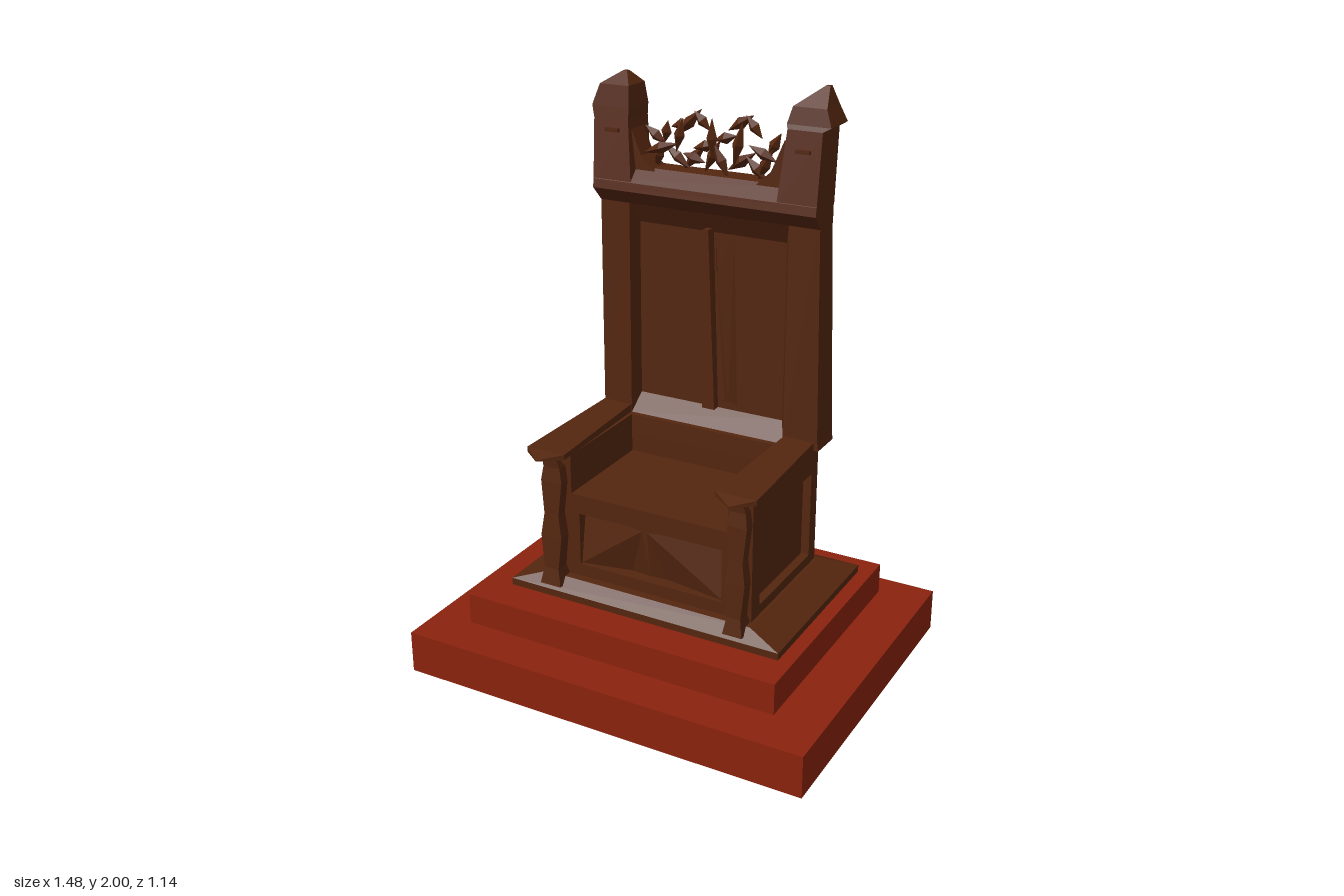
import * as THREE from 'three';

const wood = new THREE.MeshStandardMaterial({ color: 0x54260f, flatShading: true, side: THREE.DoubleSide });
wood.name = 'dark wood';
const red = new THREE.MeshStandardMaterial({ color: 0x8a220d, flatShading: true });
red.name = 'red step';

export function createModel() {
  const model = new THREE.Group();
  model.name = 'throne';

  const add = (name, geometry, material = wood) => {
    const mesh = new THREE.Mesh(geometry, material);
    mesh.name = name;
    model.add(mesh);
    return mesh;
  };
  const box = (name, x0, x1, y0, y1, z0, z1, material) => {
    const g = new THREE.BoxGeometry(x1 - x0, y1 - y0, z1 - z0);
    g.translate((x0 + x1) / 2, (y0 + y1) / 2, (z0 + z1) / 2);
    return add(name, g, material);
  };
  // quads given as four corners each
  const quads = (name, list) => {
    const p = [];
    for (const [a, b, c, d] of list) p.push(...a, ...b, ...c, ...a, ...c, ...d);
    const g = new THREE.BufferGeometry();
    g.setAttribute('position', new THREE.Float32BufferAttribute(p, 3));
    g.computeVertexNormals();
    return add(name, g);
  };
  // stack of rectangular sections [y, x0, x1, z0, z1]
  const loft = (name, sections) => {
    const rings = sections.map(([y, x0, x1, z0, z1]) =>
      [[x0, y, z1], [x1, y, z1], [x1, y, z0], [x0, y, z0]]);
    const list = [[...rings[0]].reverse(), rings[rings.length - 1]];
    for (let i = 0; i + 1 < rings.length; i++)
      for (let k = 0; k < 4; k++) {
        const n = (k + 1) % 4;
        list.push([rings[i][k], rings[i][n], rings[i + 1][n], rings[i + 1][k]]);
      }
    return quads(name, list);
  };
  // panel sunk behind a sloping border; rectangles are [x0, x1, y0, y1]
  const sunkPanel = (name, outer, inner, zOuter, zInner) => {
    const loop = ([x0, x1, y0, y1], z) => [[x0, y0, z], [x1, y0, z], [x1, y1, z], [x0, y1, z]];
    const o = loop(outer, zOuter), i = loop(inner, zInner);
    const list = [i];
    for (let k = 0; k < 4; k++) list.push([o[k], o[(k + 1) % 4], i[(k + 1) % 4], i[k]]);
    return quads(name, list);
  };
  // outline in x, y extruded from z0 to z1
  const plate = (name, points, z0, z1) => {
    const shape = new THREE.Shape(points.map(([x, y]) => new THREE.Vector2(x, y)));
    const g = new THREE.ExtrudeGeometry(shape, { depth: z1 - z0, bevelEnabled: false });
    return add(name, g.translate(0, 0, z0));
  };

  // steps and plinth
  box('lowerStep', -0.74, 0.74, 0, 0.15, -0.57, 0.57, red);
  box('upperStep', -0.58, 0.58, 0.17, 0.28, -0.44, 0.44, red);
  loft('plinth', [
    [0.28, -0.49, 0.53, -0.355, 0.31], [0.305, -0.49, 0.53, -0.355, 0.31],
    [0.345, -0.37, 0.41, -0.27, 0.27],
  ]);

  // seat box
  box('seat', -0.32, 0.36, 0.31, 0.65, -0.24, 0.19);
  box('seatBackRail', -0.36, 0.40, 0.69, 0.79, -0.26, -0.165);
  box('rearPanel', -0.33, 0.37, 0.34, 0.72, -0.245, -0.165);
  box('rearBottomRail', -0.36, 0.40, 0.33, 0.38, -0.26, -0.22);
  box('frontTopRail', -0.36, 0.40, 0.58, 0.65, 0.19, 0.24);
  box('frontBottomRail', -0.36, 0.40, 0.31, 0.39, 0.19, 0.24);
  for (const [x0, x1] of [[-0.36, -0.25], [0.29, 0.40]])
    box('frontStile', x0, x1, 0.31, 0.65, 0.19, 0.24);

  // folded front panel, two facets meeting in the middle
  for (const [side, x, xm] of [[-1, -0.25, -0.01], [1, 0.29, 0.01]]) {
    const apex = [xm, 0.57, 0.235], foot = [xm + side * 0.06, 0.39, 0.195];
    quads('frontFold', [
      [[x, 0.39, 0.23], foot, apex, apex],
      [[x, 0.39, 0.23], apex, [x, 0.58, 0.20], [x, 0.58, 0.20]],
      [foot, [0, 0.39, 0.20], apex, apex],
    ]);
  }

  // side walls with sunk panels
  for (const [inner, mid, outer] of [[-0.28, -0.33, -0.36], [0.31, 0.37, 0.40]]) {
    const span = (a, b) => [Math.min(a, b), Math.max(a, b)];
    box('sideWall', ...span(inner, mid), 0.31, 0.79, -0.24, 0.24);
    box('sideTopRail', ...span(inner, outer), 0.69, 0.79, -0.26, 0.24);
    box('sideBottomRail', ...span(mid, outer), 0.33, 0.38, -0.26, 0.24);
    box('sideFrontStile', ...span(mid, outer), 0.33, 0.70, 0.18, 0.24);
    box('sideRearStile', ...span(mid, outer), 0.33, 0.70, -0.26, -0.21);
  }

  // carved front posts
  for (const [c, w] of [[-0.33, 0.04], [0.365, 0.035]])
    loft('frontPost', [
      [0.32, c - w, c + w, 0.235, 0.31], [0.38, c - w * 0.7, c + w * 0.7, 0.25, 0.30],
      [0.50, c - w, c + w, 0.25, 0.295], [0.58, c - w * 0.7, c + w * 0.7, 0.25, 0.29],
      [0.70, c - w, c + w, 0.245, 0.285], [0.75, c - w * 0.8, c + w * 0.8, 0.245, 0.28],
      [0.79, c - w * 0.8, c + w * 0.5, 0.27, 0.285],
    ]);

  // armrests with pointed, drooping ends
  for (const [x0, x1, tip] of [[-0.41, -0.265, -0.34], [0.295, 0.44, 0.37]]) {
    const s = new THREE.Shape([[x0 + 0.02, 0.24], [x1 - 0.02, 0.24], [x1, -0.30], [tip, -0.355], [x0, -0.30]]
      .map(([x, z]) => new THREE.Vector2(x, z)));
    const g = new THREE.ExtrudeGeometry(s, { depth: 0.03, bevelEnabled: false });
    g.rotateX(-Math.PI / 2).translate(0, 0.8, 0);
    const p = g.attributes.position;
    for (let i = 0; i < p.count; i++)
      if (p.getY(i) > 0.81) p.setY(i, p.getZ(i) > 0.33 ? 0.804 : p.getZ(i) > 0.2 ? 0.818 : 0.83);
    g.computeVertexNormals();
    add('armrest', g);
  }

  // tall back
  loft('backLeftStile', [[0.80, 0.31, 0.44, -0.285, -0.165], [0.83, 0.31, 0.435, -0.29, -0.165], [1.62, 0.31, 0.417, -0.26, -0.165]]);
  loft('backRightStile', [[0.80, -0.40, -0.28, -0.285, -0.165], [0.83, -0.39, -0.28, -0.285, -0.165], [1.62, -0.39, -0.28, -0.26, -0.165]]);
  loft('backBoard', [[0.80, -0.30, 0.33, -0.285, -0.225], [0.83, -0.30, 0.33, -0.288, -0.225], [1.66, -0.30, 0.33, -0.26, -0.225]]);
  sunkPanel('backPanel', [-0.28, 0.31, 0.80, 1.57], [-0.27, 0.28, 0.86, 1.485], -0.165, -0.22);
  loft('backMullion', [[0.86, -0.012, 0.035, -0.222, -0.19], [1.50, -0.008, 0.012, -0.222, -0.18]]);
  quads('backFold', [
    [[0.06, 0.88, -0.218], [0.085, 0.90, -0.20], [0.04, 1.36, -0.19], [0.02, 1.48, -0.218]],
    [[0.085, 0.90, -0.20], [0.11, 0.88, -0.218], [0.09, 1.49, -0.218], [0.04, 1.36, -0.19]],
  ]);

  // cornice with sloping underside and top
  loft('cornice', [
    [1.56, -0.39, 0.42, -0.262, -0.165], [1.61, -0.395, 0.42, -0.262, -0.122],
    [1.64, -0.395, 0.42, -0.262, -0.126], [1.685, -0.36, 0.38, -0.262, -0.18],
  ]);

  // corner finials and their curved shoulders
  loft('rightFinial', [
    [1.62, -0.395, -0.25, -0.265, -0.125], [1.84, -0.405, -0.275, -0.285, -0.155],
    [1.88, -0.415, -0.275, -0.29, -0.16], [1.95, -0.39, -0.28, -0.275, -0.17], [1.99, -0.33, -0.315, -0.235, -0.22],
  ]);
  loft('leftFinial', [
    [1.62, 0.28, 0.42, -0.265, -0.125], [1.87, 0.30, 0.42, -0.285, -0.155],
    [1.885, 0.295, 0.445, -0.29, -0.16], [1.94, 0.31, 0.425, -0.27, -0.17], [2.0, 0.39, 0.405, -0.25, -0.235],
  ]);
  for (const s of [-1, 1])
    plate('shoulder', [[0.34, 1.64], [0.18, 1.67], [0.24, 1.725], [0.285, 1.83], [0.34, 1.86]]
      .map(([x, y]) => [s * x + (s < 0 ? 0.005 : 0), y]), -0.25, -0.17);
  for (const x of [-0.33, 0.36]) box('finialSlot', x - 0.025, x + 0.025, 1.80, 1.812, -0.16, -0.138);

  // openwork crest: pointed blades from (x0, y0) to (x1, y1)
  const crest = new THREE.Group();
  crest.name = 'crest';
  model.add(crest);
  const blades = [
    [-0.25, 1.81, -0.18, 1.76], [-0.21, 1.67, -0.18, 1.78], [-0.24, 1.73, -0.12, 1.77], [-0.18, 1.77, -0.17, 1.83],
    [-0.17, 1.76, -0.08, 1.69], [-0.12, 1.75, -0.10, 1.85], [-0.15, 1.82, -0.08, 1.84], [-0.12, 1.80, -0.04, 1.885],
    [-0.05, 1.88, 0.00, 1.83], [-0.11, 1.68, -0.03, 1.77], [-0.06, 1.76, 0.02, 1.78], [0.01, 1.86, 0.01, 1.74],
    [0.01, 1.79, 0.08, 1.81], [-0.02, 1.69, 0.03, 1.79], [0.02, 1.78, 0.07, 1.68], [0.06, 1.83, 0.14, 1.88],
    [0.13, 1.88, 0.18, 1.82], [0.09, 1.72, 0.12, 1.86], [0.06, 1.70, 0.15, 1.76], [0.13, 1.75, 0.20, 1.68],
    [0.15, 1.79, 0.24, 1.75], [0.20, 1.76, 0.24, 1.83], [0.17, 1.68, 0.22, 1.78], [-0.02, 1.72, -0.09, 1.74],
  ];
  blades.forEach(([x0, y0, x1, y1], i) => {
    const dir = new THREE.Vector3(x1 - x0, y1 - y0, 0);
    const g = new THREE.OctahedronGeometry(1);
    g.scale(0.02, dir.length() / 2 + 0.008, 0.022);
    const mesh = new THREE.Mesh(g, wood);
    mesh.name = 'crestBlade';
    mesh.position.set((x0 + x1) / 2, (y0 + y1) / 2, -0.22 + 0.015 * ((i % 3) - 1));
    mesh.quaternion.setFromUnitVectors(new THREE.Vector3(0, 1, 0), dir.normalize());
    crest.add(mesh);
  });

  return model;
}
